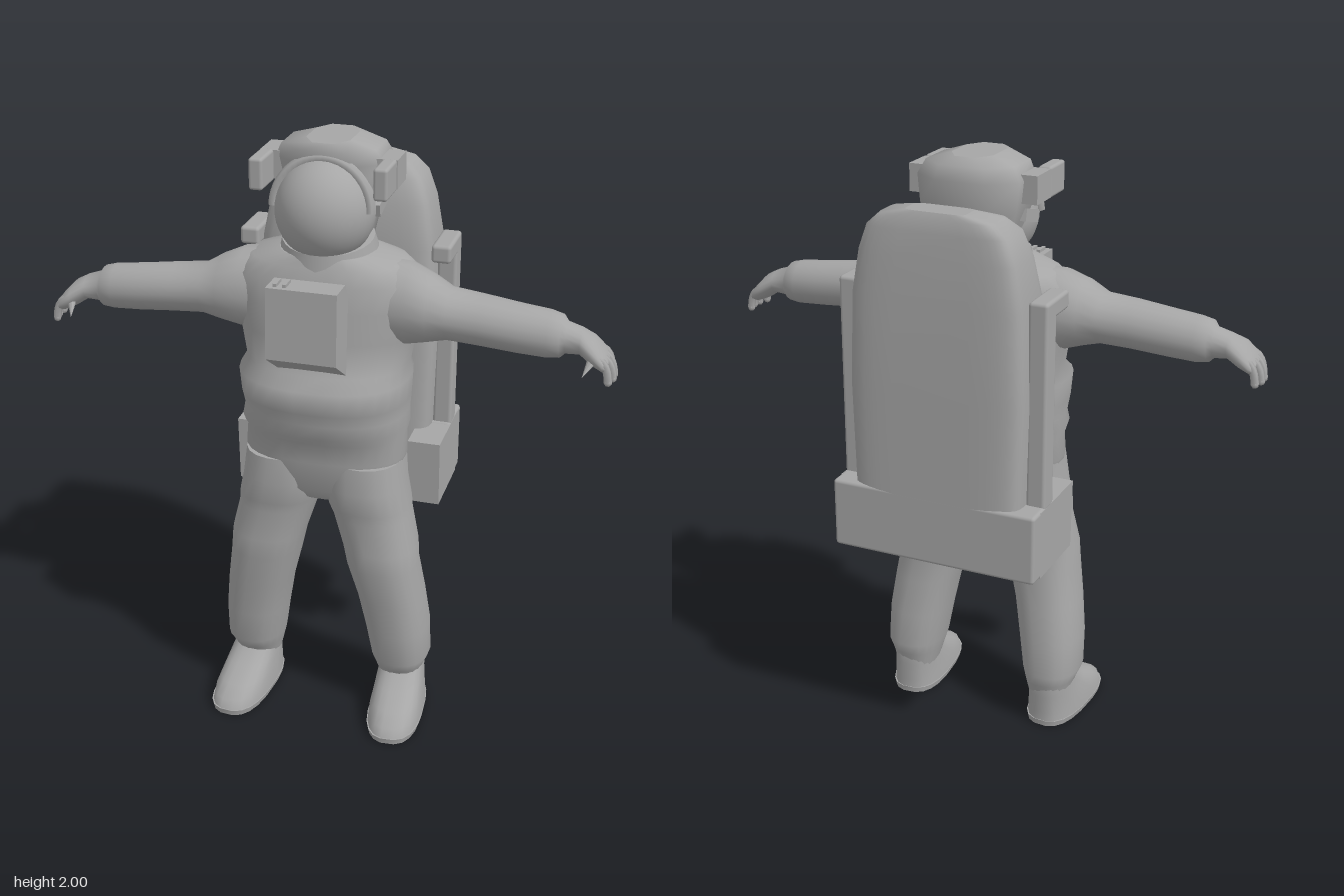
import * as THREE from 'three';
import { RoundedBoxGeometry } from 'three/addons/geometries/RoundedBoxGeometry.js';

const suit = new THREE.MeshStandardMaterial({ color: 0xa6a6a6 });
suit.name = 'suitGrey';

// Skin over rings. Each section is [position on axis, u0, u1, v0, v1]:
// axis 'y' uses u = x, v = z; axis 'x' uses u = y, v = z. e squares the ring off.
function loft(sections, { axis = 'y', n = 20, e = 1 } = {}) {
  const pos = [], idx = [];
  const put = (p, u, v) => (axis === 'y' ? pos.push(u, p, v) : pos.push(p, u, v));
  const sq = (c) => Math.sign(c) * Math.pow(Math.abs(c), e);
  const flip = axis === 'x' ? -1 : 1;
  const ring = ([p, u0, u1, v0, v1]) => {
    for (let j = 0; j < n; j++) {
      const t = ((j + 0.5) / n) * Math.PI * 2;
      put(p, (u0 + u1) / 2 + (sq(Math.cos(t)) * (u1 - u0)) / 2,
        (v0 + v1) / 2 + (flip * sq(Math.sin(t)) * (v1 - v0)) / 2);
    }
  };
  sections.forEach(ring);
  for (let i = 0; i < sections.length - 1; i++)
    for (let j = 0; j < n; j++) {
      const a = i * n + j, b = i * n + ((j + 1) % n);
      idx.push(a, a + n, b, b, a + n, b + n);
    }
  // end caps with their own vertices, so the rims stay sharp
  [sections[0], sections[sections.length - 1]].forEach((s, k) => {
    const base = pos.length / 3;
    ring(s);
    put(s[0], (s[1] + s[2]) / 2, (s[3] + s[4]) / 2);
    for (let j = 0; j < n; j++) {
      const a = base + j, b = base + ((j + 1) % n);
      if (k) idx.push(base + n, b, a); else idx.push(base + n, a, b);
    }
  });
  const g = new THREE.BufferGeometry();
  g.setAttribute('position', new THREE.Float32BufferAttribute(pos, 3));
  g.setIndex(idx);
  g.computeVertexNormals();
  return g;
}

// Mirror section lists to the -x side
const mirrorY = (list, s) => (s > 0 ? list : list.map(([y, a, b, c, d]) => [y, -b, -a, c, d]));
const mirrorX = (list, s) => (s > 0 ? list : list.map(([x, ...r]) => [-x, ...r]).reverse());

// Side profile of (z, y) points extruded from x0 to x1
function slab(points, x0, x1) {
  const shape = new THREE.Shape(points.map(([z, y]) => new THREE.Vector2(-z, y)));
  return new THREE.ExtrudeGeometry(shape, { depth: x1 - x0, bevelEnabled: false })
    .rotateY(Math.PI / 2).translate(x0, 0, 0);
}

export function createModel() {
  const model = new THREE.Group();
  model.name = 'spacewalker';
  const add = (name, geo, x = 0, y = 0, z = 0, parent = model) => {
    const m = new THREE.Mesh(geo, suit);
    m.name = name;
    m.position.set(x, y, z);
    parent.add(m);
    return m;
  };

  // Torso with belly folds, down to the hips
  add('torso', loft([
    [0.82, -0.13, 0.13, 0.0, 0.19], [0.87, -0.24, 0.24, -0.03, 0.23],
    [0.98, -0.27, 0.27, -0.07, 0.25], [1.05, -0.265, 0.265, -0.09, 0.255],
    [1.09, -0.275, 0.275, -0.12, 0.295], [1.13, -0.27, 0.27, -0.13, 0.285],
    [1.18, -0.275, 0.275, -0.14, 0.31], [1.26, -0.28, 0.28, -0.14, 0.32],
    [1.29, -0.265, 0.265, -0.14, 0.26], [1.4, -0.285, 0.285, -0.13, 0.25],
    [1.5, -0.31, 0.31, -0.12, 0.24], [1.58, -0.31, 0.31, -0.11, 0.23],
    [1.63, -0.25, 0.25, -0.1, 0.21], [1.66, -0.15, 0.15, -0.07, 0.2],
  ], { n: 28, e: 0.85 }));

  // Neck ring, lower at the front
  const collar = add('collar', new THREE.CylinderGeometry(0.145, 0.16, 0.06, 28), 0, 1.665, 0.06);
  collar.rotation.x = 0.15;

  // Helmet: round visor with a faceted hood behind it
  const visor = add('visor', new THREE.SphereGeometry(0.157, 32, 24), 0, 1.79, 0.1);
  visor.scale.y = 1.03;
  add('hood', loft([
    [1.68, -0.13, 0.13, -0.09, 0.12], [1.76, -0.145, 0.145, -0.125, 0.12],
    [1.84, -0.175, 0.175, -0.145, 0.12], [1.93, -0.185, 0.185, -0.145, 0.13],
    [1.975, -0.16, 0.16, -0.13, 0.14], [2.0, -0.075, 0.075, -0.1, 0.13],
  ], { n: 8, e: 0.8 }));
  const brim = add('visorBrim', new THREE.TorusGeometry(0.153, 0.018, 6, 24, Math.PI), 0, 1.8, 0.14);
  brim.rotation.x = -0.15;

  // Chest control box with its small switches
  add('chestBox', slab([[0.35, 1.61], [0.26, 1.61], [0.2, 1.5], [0.2, 1.3], [0.24, 1.3], [0.36, 1.38]],
    -0.115, 0.11));
  for (const x of [-0.09, -0.06]) add('chestSwitch', new THREE.BoxGeometry(0.012, 0.02, 0.05), x, 1.61, 0.31);

  for (const s of [1, -1]) {
    const side = s > 0 ? 'left' : 'right';

    // Helmet lamp, its bracket and the visor hinge
    add(side + 'Lamp', new RoundedBoxGeometry(0.045, 0.1, 0.12, 2, 0.01), s * 0.195, 1.905, 0.13);
    add(side + 'LampBracket', new THREE.BoxGeometry(0.1, 0.09, 0.11), s * 0.168, 1.905, 0.015);
    const hinge = add(side + 'VisorHinge', new THREE.BoxGeometry(0.03, 0.04, 0.1), s * 0.155, 1.805, 0.04);
    hinge.rotation.x = 0.25;

    // Arm: shoulder, sleeve, cuff and hand
    add(side + 'Arm', loft(mirrorX([
      [0.16, 1.36, 1.64, -0.05, 0.19], [0.27, 1.37, 1.635, -0.04, 0.2],
      [0.34, 1.39, 1.605, -0.02, 0.2], [0.4, 1.405, 1.57, 0.0, 0.185],
      [0.5, 1.4, 1.56, 0.01, 0.185], [0.62, 1.39, 1.545, 0.02, 0.18],
      [0.71, 1.385, 1.535, 0.025, 0.175], [0.75, 1.39, 1.525, 0.035, 0.17],
      [0.765, 1.405, 1.505, 0.05, 0.155], [0.81, 1.41, 1.49, 0.05, 0.16],
      [0.85, 1.385, 1.47, 0.04, 0.185], [0.885, 1.37, 1.435, 0.045, 0.185],
      [0.9, 1.37, 1.41, 0.055, 0.175],
    ], s), { axis: 'x', n: 18 }));

    // Curled fingers and thumb
    for (let i = 0; i < 4; i++) {
      const z = 0.065 + i * 0.034, out = i === 0 || i === 3 ? -0.01 : 0;
      const path = new THREE.QuadraticBezierCurve3(
        new THREE.Vector3(s * 0.87, 1.42, z), new THREE.Vector3(s * (0.91 + out), 1.41, z),
        new THREE.Vector3(s * (0.915 + out), 1.35, z));
      add(side + 'Finger', new THREE.TubeGeometry(path, 5, 0.013, 6));
      add(side + 'Fingertip', new THREE.SphereGeometry(0.013, 6, 5), s * (0.915 + out), 1.35, z);
    }
    const thumb = add(side + 'Thumb', new THREE.ConeGeometry(0.02, 0.09, 7), s * 0.845, 1.4, 0.18);
    thumb.rotation.set(2.1, 0, s * 0.3);

    // Trouser leg, flared at the hip and gathered over the boot
    add(side + 'Leg', loft(mirrorY([
      [0.1, 0.19, 0.33, -0.03, 0.13], [0.16, 0.175, 0.345, -0.045, 0.16],
      [0.2, 0.165, 0.362, -0.055, 0.185], [0.32, 0.145, 0.36, -0.045, 0.2],
      [0.45, 0.12, 0.345, -0.025, 0.215], [0.58, 0.085, 0.325, -0.01, 0.235],
      [0.65, 0.07, 0.32, -0.015, 0.235], [0.76, 0.035, 0.295, -0.03, 0.23],
      [0.8, 0.02, 0.292, -0.035, 0.24], [0.88, 0.0, 0.275, -0.05, 0.25],
      [0.97, 0.0, 0.265, -0.06, 0.24],
    ], s), { e: 0.85 }));

    // Boot: low toe rising to the ankle, turned slightly out
    const boot = new THREE.Group();
    boot.name = side + 'Boot';
    boot.position.set(s * 0.265, 0, 0.05);
    boot.rotation.y = s * 0.08;
    model.add(boot);
    add('bootSole', loft([[0, -0.09, 0.09, -0.09, 0.305], [0.02, -0.095, 0.095, -0.092, 0.308]], { e: 0.75 }), 0, 0, 0, boot);
    add('bootUpper', loft([
      [0.02, -0.093, 0.093, -0.09, 0.305], [0.05, -0.09, 0.09, -0.09, 0.29],
      [0.08, -0.085, 0.085, -0.09, 0.24], [0.115, -0.08, 0.08, -0.09, 0.17],
      [0.15, -0.075, 0.075, -0.09, 0.1], [0.18, -0.075, 0.075, -0.085, 0.085],
    ], { e: 0.8 }), 0, 0, 0, boot);

    // Backpack side rail, arm rest and forward arm of the base
    add(side + 'PackRail', new RoundedBoxGeometry(0.065, 0.68, 0.075, 2, 0.012), s * 0.322, 1.29, -0.235);
    add(side + 'PackArmRest', new RoundedBoxGeometry(0.065, 0.06, 0.17, 2, 0.012), s * 0.322, 1.6, -0.185);
    add(side + 'PackBaseArm', slab([[-0.03, 0.96], [-0.04, 0.73], [-0.3, 0.73], [-0.3, 0.96]],
      s > 0 ? 0.245 : -0.355, s > 0 ? 0.355 : -0.245));
  }

  // Backpack body, narrowing at the top, and its base box
  add('packBody', loft([
    [0.9, -0.29, 0.29, -0.355, -0.12], [1.3, -0.3, 0.3, -0.355, -0.11],
    [1.6, -0.29, 0.29, -0.35, -0.1], [1.74, -0.265, 0.265, -0.34, -0.125],
    [1.82, -0.235, 0.235, -0.335, -0.145], [1.86, -0.19, 0.19, -0.325, -0.18],
    [1.88, -0.1, 0.1, -0.315, -0.225],
  ], { n: 32, e: 0.35 }));
  add('packBase', new RoundedBoxGeometry(0.71, 0.235, 0.17, 2, 0.012), 0, 0.847, -0.27);

  return model;
}
